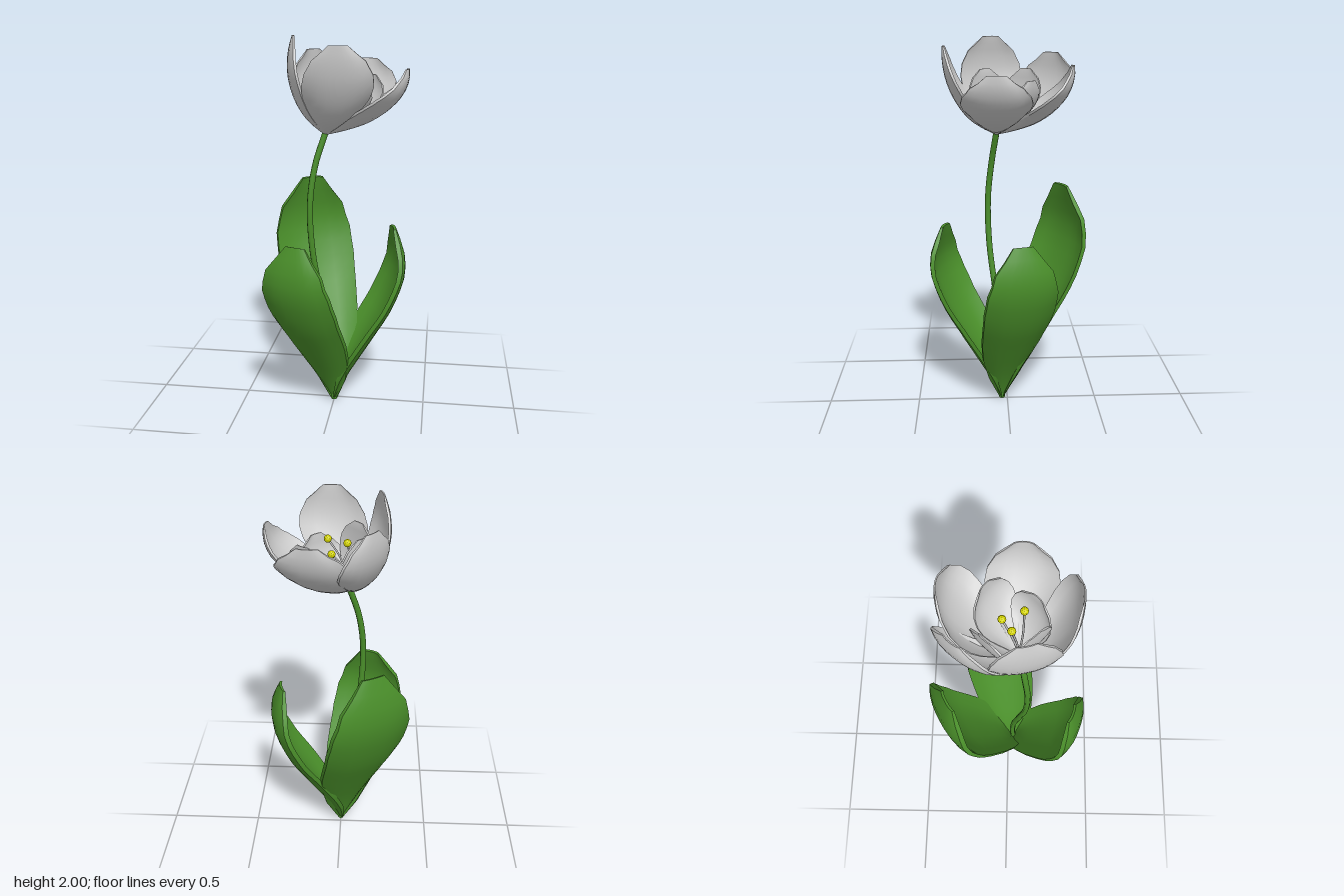
import * as THREE from 'three';
import { toCreasedNormals } from 'three/addons/utils/BufferGeometryUtils.js';

const V = (x, y, z) => new THREE.Vector3(x, y, z);
const green = new THREE.MeshStandardMaterial({ color: 0x4a8f2a });
const grey = new THREE.MeshStandardMaterial({ color: 0xcccccc });
const yellow = new THREE.MeshStandardMaterial({ color: 0xd8d800, flatShading: true });

// Spines are [outward, upward] fractions; widths are evenly spaced along the spine
const LEAF = {
  spine: [[0, 0], [0.13, 0.1], [0.29, 0.2], [0.66, 0.4], [0.93, 0.55], [1.14, 0.75], [1.13, 0.87], [1, 1]],
  width: [0.06, 0.45, 0.7, 0.85, 0.94, 1, 0.98, 0.8, 0.27],
};
const PETAL = {
  spine: [[0, 0], [0.25, 0.08], [0.52, 0.2], [0.75, 0.38], [0.93, 0.62], [1, 0.85], [1, 1]],
  width: [0.06, 0.32, 0.57, 0.79, 0.94, 1, 0.94, 0.73, 0.26],
};

// Closed, cupped blade running from base to tip; "face" is the outward [x, z] direction
function blade(kind, { base, tip, face, half, cup, thick, bulge = 0 }) {
  const F = V(face[0], 0, face[1]).normalize();
  const L = V(0, 1, 0).cross(F);
  const d = tip.clone().sub(base);
  const curve = new THREE.CatmullRomCurve3(kind.spine.map(([o, u]) =>
    V(base.x + d.x * o, base.y + d.y * u, base.z + d.z * o).addScaledVector(F, bulge * 4 * u * (1 - u))));
  const rows = 2 * (kind.width.length - 1), n = 8, ring = 2 * (n + 1), pos = [], idx = [];
  for (let i = 0; i <= rows; i++) {
    const t = i / rows;
    const S = curve.getPointAt(t);
    const N = curve.getTangentAt(t).cross(L).normalize();
    const w = (kind.width[Math.floor(i / 2)] + kind.width[Math.ceil(i / 2)]) / 2;
    for (let k = 0; k < ring; k++) {
      const inner = k > n;
      const a = (inner ? ring - 1 - k : k) / n * 2 - 1;
      // Cupping is deepest low down and fades towards the tip
      const depth = cup * (1.5 - t) * w * Math.abs(a) ** 2.6 + (inner ? thick * Math.min(1, w * 2) : 0);
      const p = S.clone().addScaledVector(L, half * w * a).addScaledVector(N, depth);
      pos.push(p.x, p.y, p.z);
    }
  }
  for (let i = 0; i < rows; i++) {
    for (let k = 0; k < ring; k++) {
      const a = i * ring + k, b = i * ring + (k + 1) % ring;
      idx.push(a, b, b + ring, a, b + ring, a + ring);
    }
  }
  // Cap at the tip
  const o = rows * ring;
  for (let k = 0; k < n; k++) {
    const a = o + k, b = a + 1, c = o + ring - 2 - k, e = c + 1;
    idx.push(a, b, c, a, c, e);
  }
  const g = new THREE.BufferGeometry();
  g.setAttribute('position', new THREE.Float32BufferAttribute(pos, 3));
  g.setIndex(idx);
  return toCreasedNormals(g, 0.7);
}

export function createModel() {
  const model = new THREE.Group();
  const add = (name, geometry, material, parent = model) => {
    const m = new THREE.Mesh(geometry, material);
    m.name = name;
    parent.add(m);
    return m;
  };

  // Stem
  const stem = new THREE.CatmullRomCurve3([
    V(0, 0.005, 0.03), V(-0.01, 0.3, 0.03), V(-0.06, 0.6, 0.06), V(-0.105, 0.9, 0.095),
    V(-0.115, 1.15, 0.1), V(-0.09, 1.35, 0.08), V(-0.04, 1.515, 0.055)]);
  add('stem', new THREE.TubeGeometry(stem, 32, 0.016, 8), green);

  // Leaves
  const foot = V(0, 0, 0.03);
  [
    ['backLeaf', V(-0.175, 1.21, -0.315), [-0.49, -0.87], 0.225, -0.01],
    ['frontLeaf', V(-0.155, 0.99, 0.35), [-0.33, 0.94], 0.195, -0.005],
    ['sideLeaf', V(0.32, 1, -0.07), [0.965, -0.25], 0.19, 0],
  ].forEach(([name, tip, face, half, bulge]) =>
    add(name, blade(LEAF, { base: foot, tip, face, half, bulge, cup: 0.065, thick: 0.025 }), green));

  // Flower: five outer petals around four smaller inner ones
  const flower = new THREE.Group();
  flower.name = 'flower';
  model.add(flower);
  const heart = V(-0.04, 1.505, 0.055);
  [
    [V(-0.2, 2, 0.08), [-0.97, 0.23], 0.165, 0.04, 0.04],
    [V(0.06, 1.96, 0.325), [0, 1], 0.175, 0, 0.055],
    [V(0.38, 1.84, 0.065), [1, 0.05], 0.175, 0, 0.075],
    [V(0.14, 1.87, -0.325), [0.08, -1], 0.19, 0, 0.075],
    [V(-0.155, 1.92, -0.24), [-0.78, -0.62], 0.175, 0.02, 0.06],
  ].forEach(([tip, face, half, bulge, cup]) => add('outerPetal',
    blade(PETAL, { base: heart, tip, face, half, bulge, cup, thick: 0.012 }), grey, flower));
  [
    [V(0.18, 1.8, -0.115), [0.6, -0.8], 0.13, 0.04],
    [V(-0.105, 1.84, -0.105), [-0.74, -0.67], 0.12, 0.02],
    [V(-0.085, 1.84, 0.115), [-0.75, 0.66], 0.12, 0.012],
    [V(0.135, 1.77, 0.135), [0.68, 0.73], 0.125, 0.035],
  ].forEach(([tip, face, half, cup]) => add('innerPetal',
    blade(PETAL, { base: V(-0.035, 1.525, 0.05), tip, face, half, cup, thick: 0.01 }), grey, flower));

  // Stamens: thin bent filaments with faceted anthers
  [V(-0.03, 1.77, 0.015), V(0.045, 1.73, -0.03), V(0.068, 1.77, 0.07)].forEach((head) => {
    const root = V(-0.035, 1.53, 0.05);
    const bend = root.clone().lerp(head, 0.5).add(V(-0.012, 0.02, 0.006));
    const path = new THREE.CatmullRomCurve3([root, bend, head]);
    add('filament', new THREE.TubeGeometry(path, 10, 0.005, 6), grey, flower);
    add('anther', new THREE.IcosahedronGeometry(0.02, 1), yellow, flower).position.copy(head);
  });
  return model;
}
